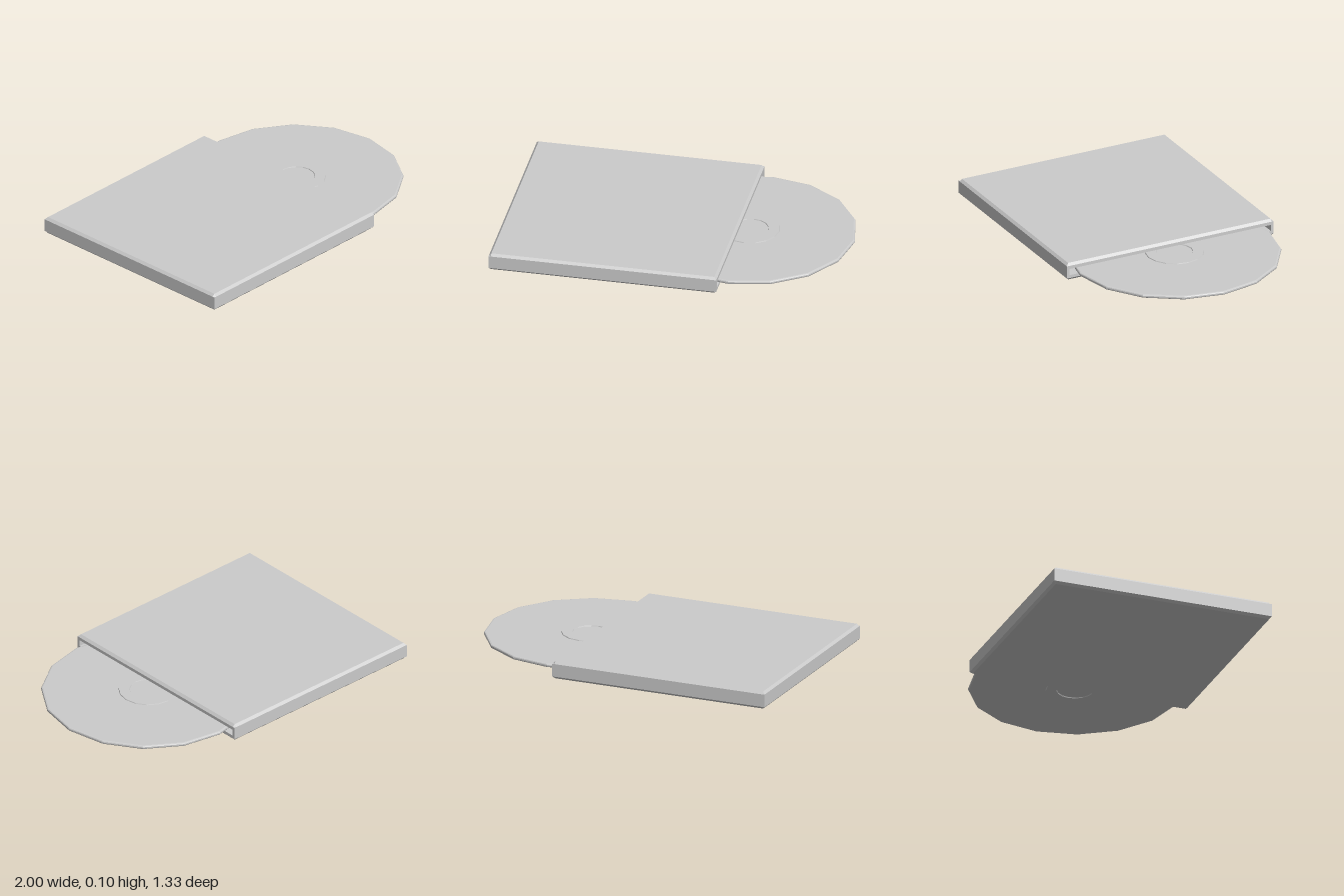
import * as THREE from 'three';

const material = new THREE.MeshStandardMaterial({ color: 0xcccccc, flatShading: true });

// Eight-point y/z section: half width w, height y0..y1, corners cut by cz and cy
function section(x, w, y0, y1, cz = 0, cy = 0) {
  return [
    [w, y0 + cy], [w, y1 - cy], [w - cz, y1], [cz - w, y1],
    [-w, y1 - cy], [-w, y0 + cy], [cz - w, y0], [w - cz, y0],
  ].map(([z, y]) => [x, y, z]);
}

// Skin a run of sections, closing both ends
function loft(rings) {
  const n = rings[0].length;
  const index = [];
  for (let r = 0; r < rings.length - 1; r++) {
    for (let i = 0; i < n; i++) {
      const j = (i + 1) % n;
      const a = r * n + i, b = r * n + j, c = a + n, d = b + n;
      index.push(a, c, b, b, c, d);
    }
  }
  const last = (rings.length - 1) * n;
  for (let i = 1; i < n - 1; i++) {
    index.push(0, i, i + 1);
    index.push(last, last + i + 1, last + i);
  }
  const geometry = new THREE.BufferGeometry();
  geometry.setAttribute('position', new THREE.Float32BufferAttribute(rings.flat(2), 3));
  geometry.setIndex(index);
  const flat = geometry.toNonIndexed();
  flat.computeVertexNormals();
  return flat;
}

function addMesh(group, name, geometry) {
  const mesh = new THREE.Mesh(geometry, material);
  mesh.name = name;
  group.add(mesh);
  return mesh;
}

export function createModel() {
  const model = new THREE.Group();
  model.name = 'discInSleeve';

  // Sleeve: bevelled slab whose last sections turn inward to form the slot
  const w = 0.667, h = 0.104, b = 0.014;
  addMesh(model, 'sleeve', loft([
    section(-1, w, b, h - b, b, 0),
    section(-1 + b, w, 0, h, b, b),
    section(0.33 - b, w, 0, h, b, b),
    section(0.33, w, b, h - b, b, 0),
    section(0.33, 0.65, 0.032, 0.071),
    section(-0.98, 0.65, 0.032, 0.071),
  ]));

  // Disc: sixteen-sided, with a rounded rim and a raised hub ring on both faces
  const upper = [
    [0.612, 0.004], [0.609, 0.009], [0.602, 0.011],
    [0.17, 0.011], [0.168, 0.016], [0.107, 0.016], [0.105, 0.011], [0, 0.011],
  ];
  const lower = upper.map(([r, y]) => [r, -y]).reverse();
  const profile = [...lower, ...upper].map(([r, y]) => new THREE.Vector2(r, y));
  const disc = addMesh(model, 'disc', new THREE.LatheGeometry(profile, 16));
  disc.position.set(0.388, 0.052, 0.003);

  return model;
}
